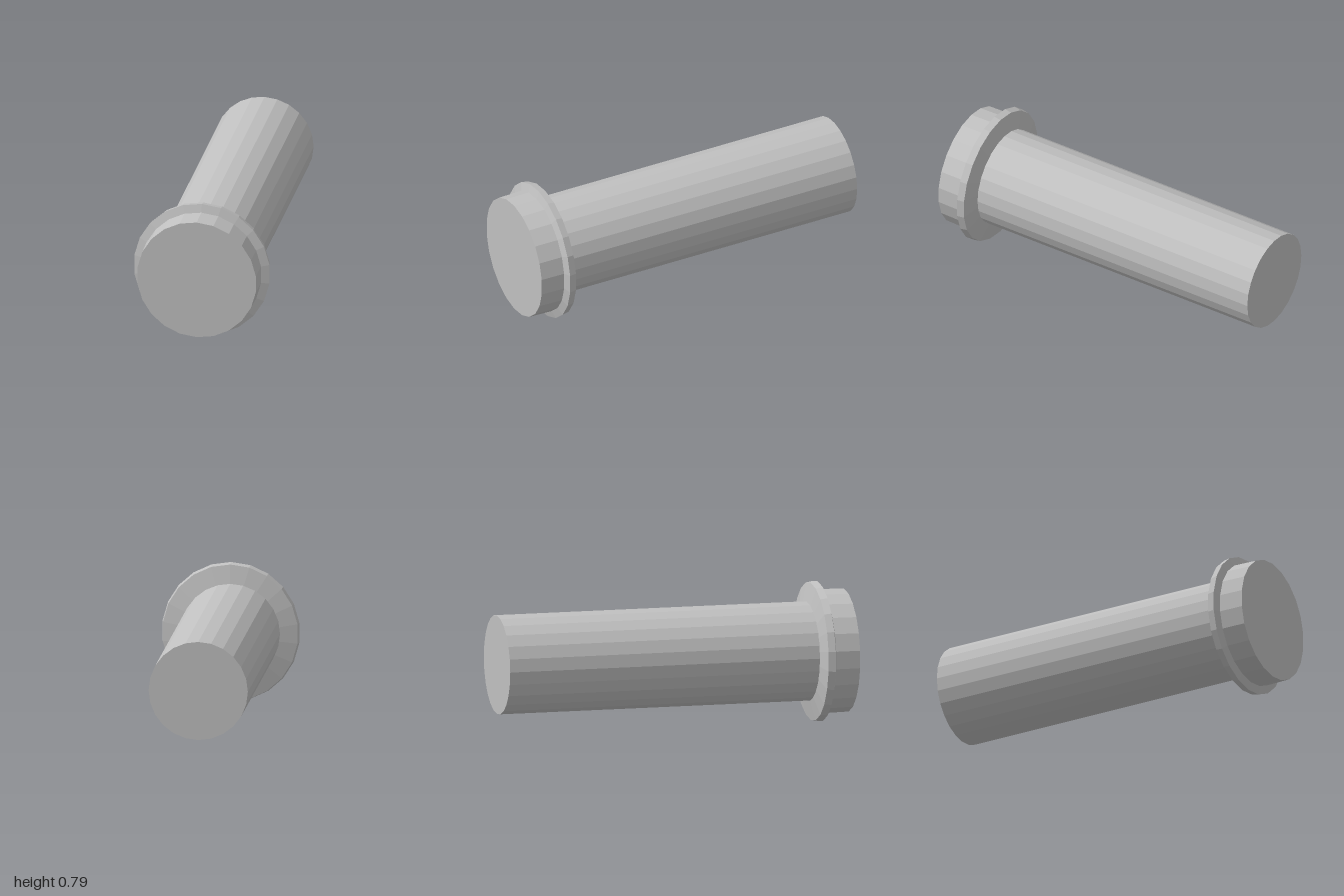
import * as THREE from 'three';

export function createModel() {
  const model = new THREE.Group();
  const grey = new THREE.MeshStandardMaterial({ color: 0xc0c0c0, flatShading: true });
  grey.name = 'plain grey';

  // Turned part along z: profile of [radius, z] pairs from back to front
  const turned = (name, profile, sides, ry = 1, cy = 0.393, cx = 0) => {
    const geo = new THREE.LatheGeometry(profile.map(([r, z]) => new THREE.Vector2(r, z)), sides);
    geo.rotateX(Math.PI / 2);
    geo.scale(1, ry, 1);
    geo.translate(cx, cy, 0);
    const mesh = new THREE.Mesh(geo, grey);
    mesh.name = name;
    model.add(mesh);
  };

  // Long shank with a flat back end
  turned('shank', [[0, -1], [0.277, -1], [0.277, 0.785]], 24, 1, 0.397, -0.003);

  // Collar: flared back, narrow rim, steep front shoulder
  turned('collar', [[0.272, 0.782], [0.379, 0.807], [0.386, 0.847], [0.34, 0.862]], 22, 1.018);

  // Flat-faced head
  turned('head', [[0.341, 0.855], [0.338, 1], [0, 1]], 22, 1.02, 0.392);

  // Rest the collar's rim exactly on the ground
  const box = new THREE.Box3().setFromObject(model, true);
  model.children.forEach((part) => part.geometry.translate(0, -box.min.y, 0));
  return model;
}
